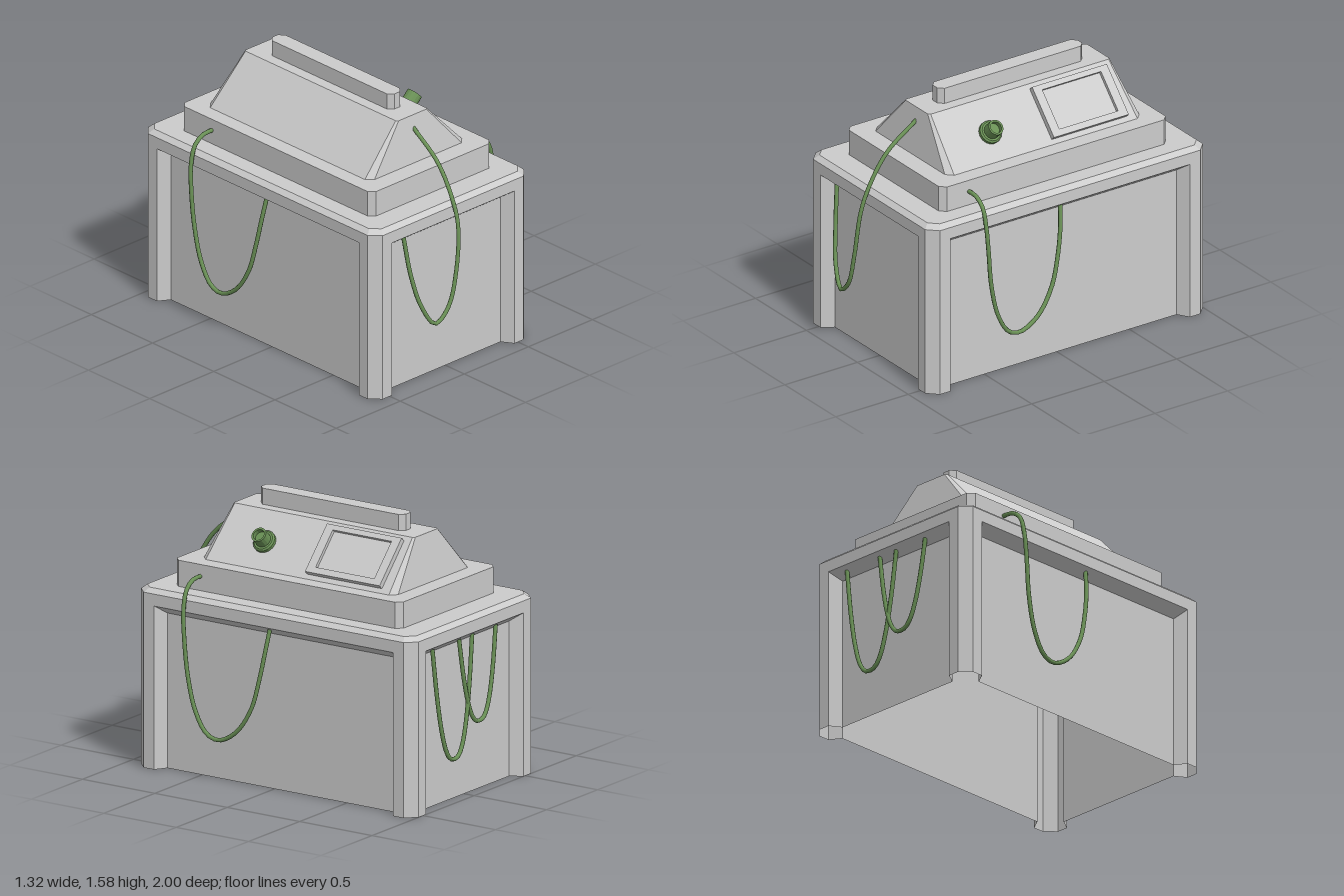
import * as THREE from 'three';

const grey = new THREE.MeshStandardMaterial({ color: 0xcccccc, flatShading: true });
const greySheet = new THREE.MeshStandardMaterial({ color: 0xcccccc, flatShading: true, side: THREE.DoubleSide });
const green = new THREE.MeshStandardMaterial({ color: 0x6a9156 });
const greenFlat = new THREE.MeshStandardMaterial({ color: 0x6a9156, flatShading: true });

function add(parent, name, geometry, material) {
  const mesh = new THREE.Mesh(geometry, material);
  mesh.name = name;
  parent.add(mesh);
  return mesh;
}

// Flat-shaded geometry from a list of four-cornered faces
function quads(list) {
  const pos = [];
  for (const [a, b, c, d] of list) pos.push(...a, ...b, ...c, ...a, ...c, ...d);
  const g = new THREE.BufferGeometry();
  g.setAttribute('position', new THREE.Float32BufferAttribute(pos, 3));
  g.computeVertexNormals();
  return g;
}

// Rectangle with cut corners at height y
function ring([hx, hz, cut, y]) {
  return [
    [hx - cut, y, hz], [hx, y, hz - cut], [hx, y, cut - hz], [hx - cut, y, -hz],
    [cut - hx, y, -hz], [-hx, y, cut - hz], [-hx, y, hz - cut], [cut - hx, y, hz],
  ];
}

// Stack of cut-corner rectangles, closed on top
function stack(sections) {
  const rings = sections.map(ring);
  const faces = [];
  for (let k = 0; k + 1 < rings.length; k++) {
    for (let i = 0; i < 8; i++) {
      const j = (i + 1) % 8;
      faces.push([rings[k][i], rings[k][j], rings[k + 1][j], rings[k + 1][i]]);
    }
  }
  const t = rings[rings.length - 1];
  faces.push([t[0], t[1], t[2], t[3]], [t[0], t[3], t[4], t[7]], [t[4], t[5], t[6], t[7]]);
  return quads(faces);
}

// One side of the hollow cabinet: posts, lintel, sloped reveal and sunk panel
const CUT = 0.06, RIM = 1.03;
function side(w, d) {
  const e = w - CUT, a = w - 0.132, b = a - 0.043, r = d - 0.07;
  const faces = [
    [[-b, 0, r], [b, 0, r], [b, 0.91, r], [-b, 0.91, r]],
    [[-b, 0.91, r], [b, 0.91, r], [a, 0.96, d], [-a, 0.96, d]],
    [[-a, 0.96, d], [a, 0.96, d], [a, RIM, d], [-a, RIM, d]],
    [[-e, 0, d], [-a, 0, d], [-a, RIM, d], [-e, RIM, d]],
    [[a, 0, d], [e, 0, d], [e, RIM, d], [a, RIM, d]],
    [[-a, 0, d], [-b, 0, r], [-b, 0.91, r], [-a, 0.96, d]],
    [[b, 0, r], [a, 0, d], [a, 0.96, d], [b, 0.91, r]],
    [[e, 0, d], [w, 0, d - CUT], [w, RIM, d - CUT], [e, RIM, d]],
  ];
  return quads(faces);
}

function cable(parent, name, points) {
  const curve = new THREE.CatmullRomCurve3(points.map((p) => new THREE.Vector3(...p)));
  return add(parent, name, new THREE.TubeGeometry(curve, 48, 0.0125, 8), green);
}

export function createModel() {
  const model = new THREE.Group();
  model.name = 'machine';

  // Hollow cabinet on four corner posts
  const cabinet = new THREE.Group();
  cabinet.name = 'cabinet';
  cabinet.position.set(-0.005, 0, -0.0425);
  model.add(cabinet);
  const W = 0.61, D = 0.9575;
  ['front', 'right', 'back', 'left'].forEach((n, i) => {
    const across = i % 2 === 1;
    add(cabinet, n + 'Side', side(across ? D : W, across ? W : D), greySheet).rotation.y = -i * Math.PI / 2;
  });
  add(cabinet, 'cabinetTop', stack([[W, D, CUT, RIM], [W - 0.03, D - 0.03, 0.05, 1.056]]), greySheet);

  // Stepped upper tier, sloped hood and ridge bar
  add(model, 'upperTier', stack([[0.475, 0.783, 0.035, 1.05], [0.475, 0.783, 0.035, 1.21]]), grey)
    .position.set(-0.005, 0, -0.037);
  add(model, 'hood', stack([[0.378, 0.67, 0.038, 1.21], [0.12, 0.625, 0.012, 1.485]]), grey)
    .position.set(-0.0075, 0, -0.04);
  add(model, 'ridgeBar', stack([[0.052, 0.5, 0.03, 1.48], [0.052, 0.5, 0.03, 1.58]]), grey)
    .position.set(-0.0075, 0, -0.04);

  // Controls on the slope: local x runs down the slope, local y points out
  const controls = new THREE.Group();
  controls.name = 'controls';
  controls.position.set(0.113, 1.485, 0);
  controls.rotation.z = -Math.atan2(0.275, 0.258);
  model.add(controls);

  const rect = (C, x0, x1, y0, y1) => new C([[x0, y0], [x1, y0], [x1, y1], [x0, y1]]
    .map((p) => new THREE.Vector2(...p)));
  const frame = rect(THREE.Shape, 0.03, 0.346, 0.095, 0.61);
  frame.holes.push(rect(THREE.Path, 0.062, 0.308, 0.15, 0.555));
  const frameGeo = new THREE.ExtrudeGeometry(frame, { depth: 0.032, bevelEnabled: false });
  add(controls, 'screenFrame', frameGeo.rotateX(-Math.PI / 2), grey);
  add(controls, 'screen', new THREE.BoxGeometry(0.25, 0.012, 0.41), grey).position.set(0.185, 0.006, -0.3525);

  // Knob with flange and hollow tip
  const knobProfile = [
    [0.068, -0.005], [0.068, 0.018], [0.058, 0.026], [0.046, 0.026], [0.046, 0.088],
    [0.034, 0.088], [0.034, 0.06], [0, 0.06],
  ].map((p) => new THREE.Vector2(...p));
  const knob = add(controls, 'knob', new THREE.LatheGeometry(knobProfile.reverse(), 16), greenFlat);
  knob.material.side = THREE.DoubleSide;
  knob.position.set(0.203, 0, 0.265);

  // Cable from the hood into the front recess
  cable(model, 'frontCable', [
    [-0.365, 0.945, 0.885], [-0.335, 0.7, 0.915], [-0.285, 0.5, 0.95], [-0.2, 0.375, 0.975],
    [-0.11, 0.45, 0.983], [-0.05, 0.65, 0.985], [-0.015, 0.93, 0.965], [-0.01, 1.08, 0.91],
    [-0.007, 1.26, 0.79], [-0.005, 1.41, 0.585],
  ]);

  // Matching cables on both long sides, half a turn apart
  const sidePath = [
    [0.46, 1.14, 0.56], [0.54, 1.137, 0.56], [0.605, 1.09, 0.56], [0.637, 0.98, 0.558],
    [0.645, 0.83, 0.548], [0.641, 0.6, 0.525], [0.637, 0.4, 0.475], [0.634, 0.28, 0.4],
    [0.632, 0.255, 0.32], [0.632, 0.32, 0.2], [0.625, 0.47, 0.1], [0.615, 0.65, 0.05],
    [0.598, 0.82, 0.02], [0.575, 0.945, 0.005],
  ];
  cable(model, 'leftCable', sidePath);
  cable(model, 'rightCable', sidePath.map(([x, y, z]) => [-x - 0.007, y, -z]));

  // Two loops hanging in the back recess
  for (const [name, x0, x1, low] of [['longBackLoop', 0.36, -0.03, 0.25], ['shortBackLoop', 0.1, -0.26, 0.42]]) {
    const path = [];
    for (let i = 0; i <= 10; i++) {
      const u = i / 5 - 1;
      const sag = Math.abs(u) ** 2.6;
      path.push([(x0 + x1) / 2 + (x1 - x0) / 2 * u, low + (0.94 - low) * sag, -0.98 + 0.015 * sag]);
    }
    cable(model, name, path);
  }
  return model;
}
